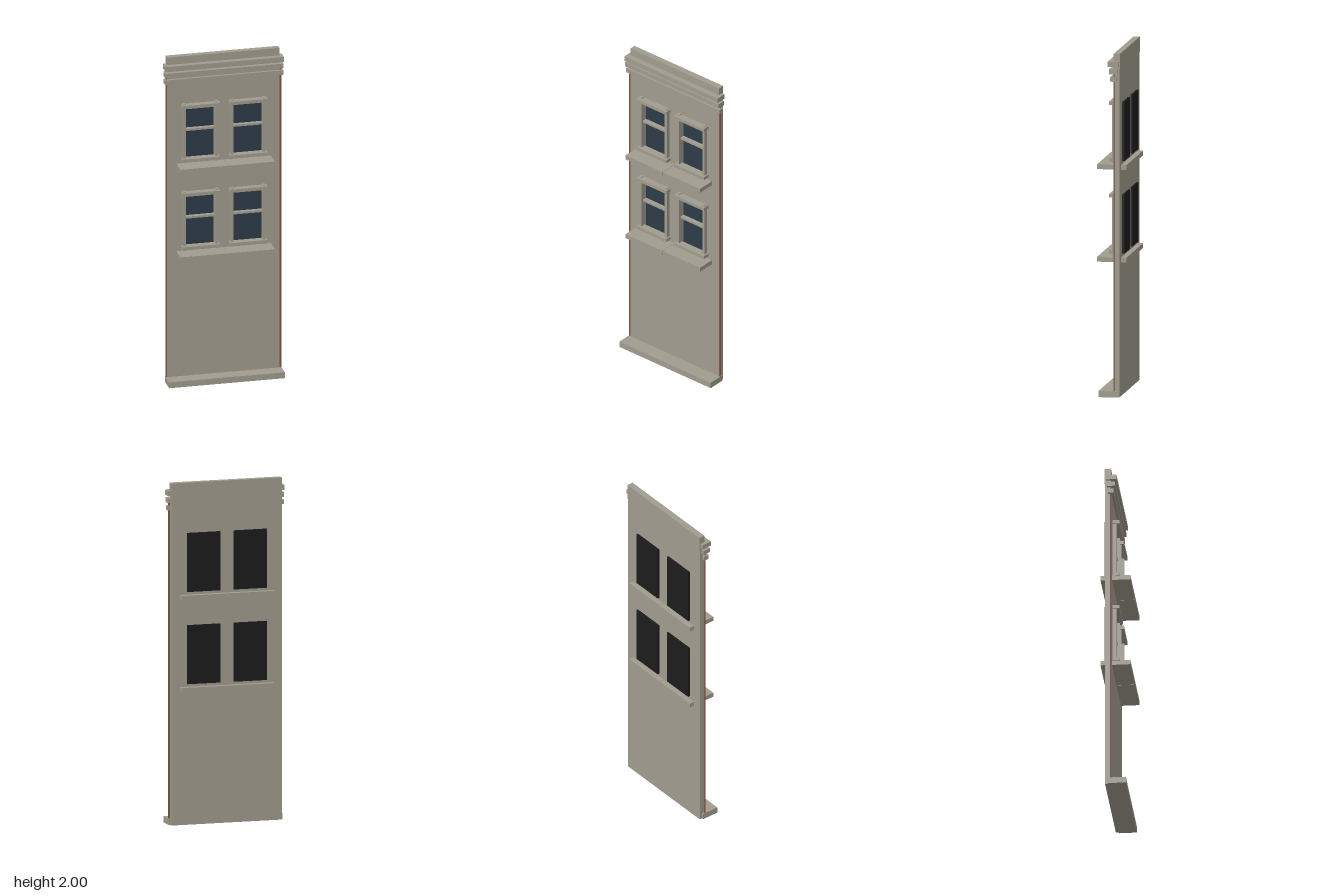
import * as THREE from 'three';

const mat = (name, color, side = THREE.FrontSide) => {
  const m = new THREE.MeshStandardMaterial({ color, side });
  m.name = name;
  return m;
};

export function createModel() {
  const stone = mat('stone', 0xa19c8f);
  const brick = mat('brick', 0x85543c);
  const glass = mat('glass', 0x2d3c48);
  const black = mat('blackout', 0x1c1c1c);
  const model = new THREE.Group();
  model.name = 'facadePanel';

  // box given by its min and max along each axis
  const box = (parent, name, material, [x0, x1], [y0, y1], [z0, z1]) => {
    const mesh = new THREE.Mesh(new THREE.BoxGeometry(x1 - x0, y1 - y0, z1 - z0), material);
    mesh.position.set((x0 + x1) / 2, (y0 + y1) / 2, (z0 + z1) / 2);
    mesh.name = name;
    parent.add(mesh);
    return mesh;
  };

  const windowX = 0.141;          // window centre to either side
  const floors = [0.991, 1.53];   // window centre heights
  const halfW = 0.087, halfH = 0.16;

  // wall with window openings
  const wallShape = new THREE.Shape();
  wallShape.moveTo(-0.333, 0).lineTo(0.333, 0).lineTo(0.333, 1.91).lineTo(-0.333, 1.91).closePath();
  for (const cy of floors) for (const s of [-1, 1]) {
    const cx = s * windowX, hole = new THREE.Path();
    hole.moveTo(cx - halfW, cy - halfH).lineTo(cx - halfW, cy + halfH)
      .lineTo(cx + halfW, cy + halfH).lineTo(cx + halfW, cy - halfH).closePath();
    wallShape.holes.push(hole);
  }
  const wall = new THREE.Mesh(
    new THREE.ExtrudeGeometry(wallShape, { depth: 0.035, bevelEnabled: false }), stone);
  wall.position.z = -0.055;
  wall.name = 'wall';
  model.add(wall);

  // parapet, slightly proud at the back
  box(model, 'parapet', stone, [-0.333, 0.333], [1.91, 2], [-0.058, -0.021]);

  // thin brick edges showing beside the wall
  for (const s of [-1, 1]) {
    const x = [0.333 * s, 0.343 * s].sort((a, b) => a - b);
    box(model, 'brickEdge', brick, x, [0.035, 1.91], [-0.026, -0.022]);
  }

  // stepped cornice and base ledge
  [[1.925, 1.955, -0.05, 0.012], [1.883, 1.911, -0.043, 0.004], [1.84, 1.867, -0.037, -0.004]]
    .forEach(([y0, y1, z0, z1]) =>
      box(model, 'corniceBand', stone, [-0.351, 0.351], [y0, y1], [z0, z1]));
  box(model, 'baseLedge', stone, [-0.343, 0.343], [0, 0.036], [-0.039, 0.066]);

  // windows, one per side on each floor
  for (const cy of floors) for (const s of [-1, 1]) {
    const w = new THREE.Group();
    w.name = 'window';
    w.position.set(s * windowX, cy, 0);
    model.add(w);
    box(w, 'glassPane', glass, [-halfW, halfW], [-halfH, halfH], [-0.042, -0.036]);
    box(w, 'blackoutPanel', black, [-0.099, 0.099], [-0.168, 0.176], [-0.067, -0.05]);
    box(w, 'meetingRail', stone, [-halfW, halfW], [0.014, 0.026], [-0.037, -0.008]);
    for (const j of [-1, 1]) {
      const x = [halfW * j, 0.103 * j].sort((a, b) => a - b);
      box(w, 'jamb', stone, x, [-0.178, 0.184], [-0.03, 0.004]);
    }
    box(w, 'headTrim', stone, [-0.112, 0.112], [0.159, 0.179], [-0.025, 0.02]);
    box(w, 'bottomTrim', stone, [-0.112, 0.112], [-0.17, -0.15], [-0.025, 0.02]);
    // half sill, meeting its neighbour at a narrow seam
    const sill = [0.001 * s, 0.28 * s].sort((a, b) => a - b).map((x) => x - s * windowX);
    box(w, 'sill', stone, sill, [-0.212, -0.185], [-0.0865, 0.0865]);
  }
  return model;
}
